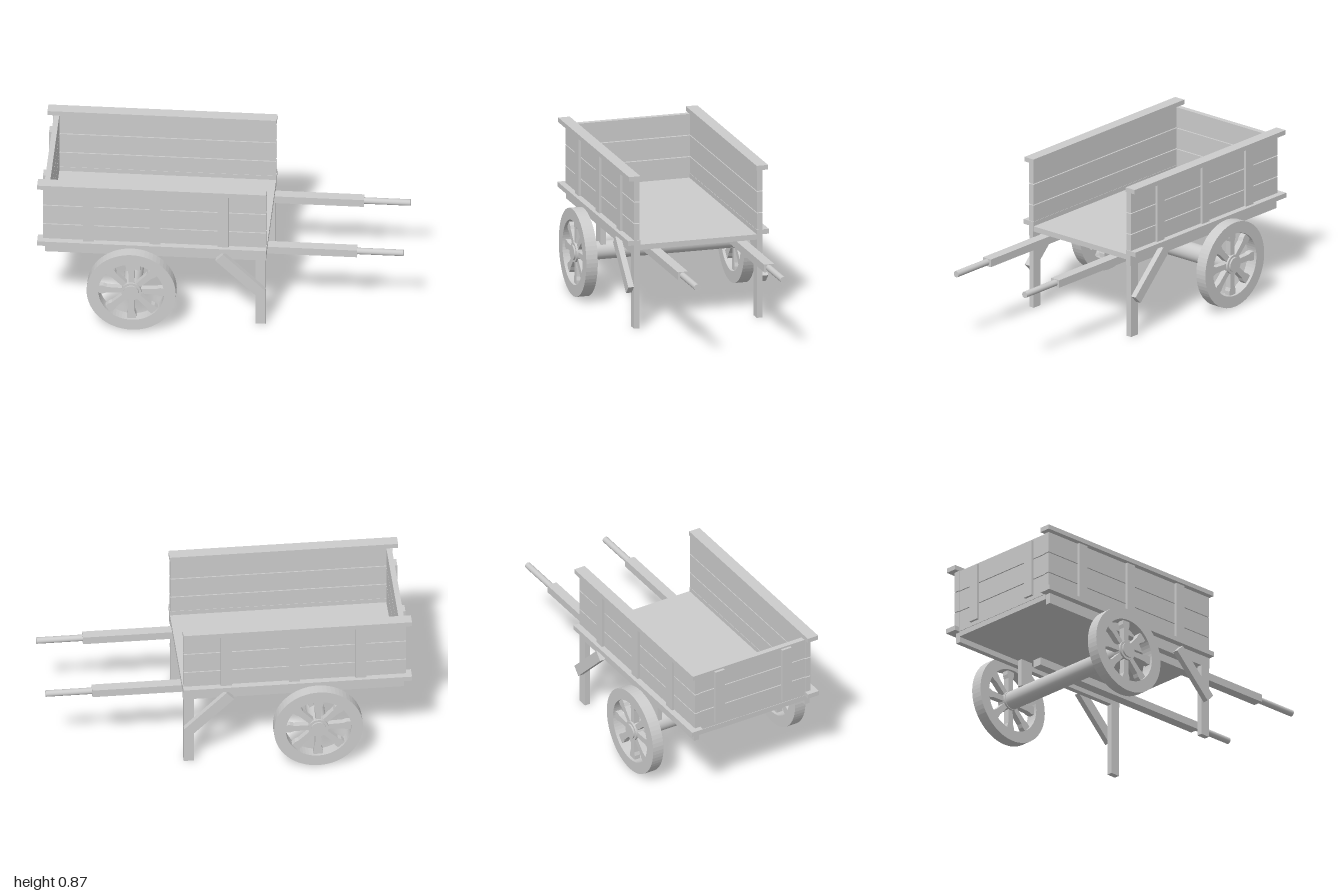
import * as THREE from 'three';

const material = new THREE.MeshStandardMaterial({ color: 0xcccccc });

function add(parent, name, geometry, x = 0, y = 0, z = 0) {
  const mesh = new THREE.Mesh(geometry, material);
  mesh.name = name;
  mesh.position.set(x, y, z);
  parent.add(mesh);
  return mesh;
}

// Box given by its limits on each axis
function block(parent, name, [x0, x1], [y0, y1], [z0, z1]) {
  return add(parent, name, new THREE.BoxGeometry(x1 - x0, y1 - y0, z1 - z0),
    (x0 + x1) / 2, (y0 + y1) / 2, (z0 + z1) / 2);
}

// Cylinder lying along z
function zCylinder(parent, name, radius, length, sides = 32) {
  return add(parent, name, new THREE.CylinderGeometry(radius, radius, length, sides).rotateX(Math.PI / 2));
}

function createWheel() {
  const wheel = new THREE.Group();
  wheel.name = 'wheel';
  const width = 0.066;

  // Rim: flat ring with a square section
  const ring = new THREE.Shape().absarc(0, 0, 0.245, 0, Math.PI * 2);
  ring.holes.push(new THREE.Path().absarc(0, 0, 0.18, 0, Math.PI * 2, true));
  const rim = new THREE.ExtrudeGeometry(ring, { depth: width, bevelEnabled: false, curveSegments: 32 });
  add(wheel, 'rim', rim.translate(0, 0, -width / 2));

  // Hub
  zCylinder(wheel, 'hub', 0.055, 0.056);
  zCylinder(wheel, 'hubCap', 0.042, 0.074);

  // Spokes flare slightly where they meet the rim
  const outline = new THREE.Shape([
    [0.04, -0.015], [0.135, -0.018], [0.155, -0.025], [0.185, -0.025],
    [0.185, 0.025], [0.155, 0.025], [0.135, 0.018], [0.04, 0.015],
  ].map(([x, y]) => new THREE.Vector2(x, y)));
  const spoke = new THREE.ExtrudeGeometry(outline, { depth: 0.034, bevelEnabled: false });
  spoke.translate(0, 0, -0.017);
  for (let i = 0; i < 8; i++) add(wheel, 'spoke', spoke).rotation.z = (i * Math.PI) / 4;
  return wheel;
}

const plankRows = [[0.478, 0.595], [0.6, 0.717], [0.722, 0.84]];

// Everything on the +z side; the other side is its mirror
function createSide(s) {
  const side = new THREE.Group();
  side.name = s > 0 ? 'frontSide' : 'backSide';
  const z = (a, b) => (s > 0 ? [a, b] : [-b, -a]);

  // Side wall
  plankRows.forEach((row) => block(side, 'sidePlank', [-0.97, 0.253], row, z(0.337, 0.369)));
  for (const x of [-0.72, -0.355, 0.02]) {
    block(side, 'sidePost', [x - 0.03, x + 0.03], [0.5, 0.84], z(0.369, 0.384));
  }
  block(side, 'topRail', [-1, 0.257], [0.84, 0.866], z(0.334, 0.4));
  block(side, 'lowerRail', [-1, 0.257], [0.475, 0.502], z(0.335, 0.405));

  // Underframe
  block(side, 'sideBeam', [-0.96, 0.256], [0.415, 0.475], z(0.337, 0.368));
  block(side, 'leg', [0.195, 0.252], [0, 0.475], z(0.337, 0.369));
  const brace = add(side, 'legBrace', new THREE.BoxGeometry(0.325, 0.06, 0.032), 0.116, 0.33, s * 0.386);
  brace.rotation.z = -0.775;
  block(side, 'axleBracket', [-0.52, -0.44], [0.287, 0.445], z(0.307, 0.337));

  // Shaft with a round handle
  block(side, 'shaft', [-0.46, 0.745], [0.402, 0.446], z(0.219, 0.277));
  const handle = new THREE.CylinderGeometry(0.018, 0.018, 0.265, 24).rotateZ(Math.PI / 2);
  add(side, 'handle', handle, 0.8675, 0.425, s * 0.248);

  // Batten holding the end planks together
  block(side, 'endBatten', [-0.98, -0.965], [0.5, 0.83], z(0.184, 0.244));

  const wheel = createWheel();
  wheel.position.set(-0.477, 0.248, s * 0.454);
  side.add(wheel);
  return side;
}

export function createModel() {
  const cart = new THREE.Group();
  cart.name = 'handCart';
  cart.position.z = 0.002;

  block(cart, 'floor', [-0.965, 0.255], [0.446, 0.476], [-0.337, 0.337]);
  plankRows.forEach((row) => block(cart, 'endPlank', [-0.965, -0.935], row, [-0.336, 0.336]));

  const axle = zCylinder(cart, 'axle', 0.051, 0.86);
  axle.position.set(-0.477, 0.248, 0);

  cart.add(createSide(1), createSide(-1));

  const model = new THREE.Group();
  model.name = 'model';
  model.add(cart);
  return model;
}
